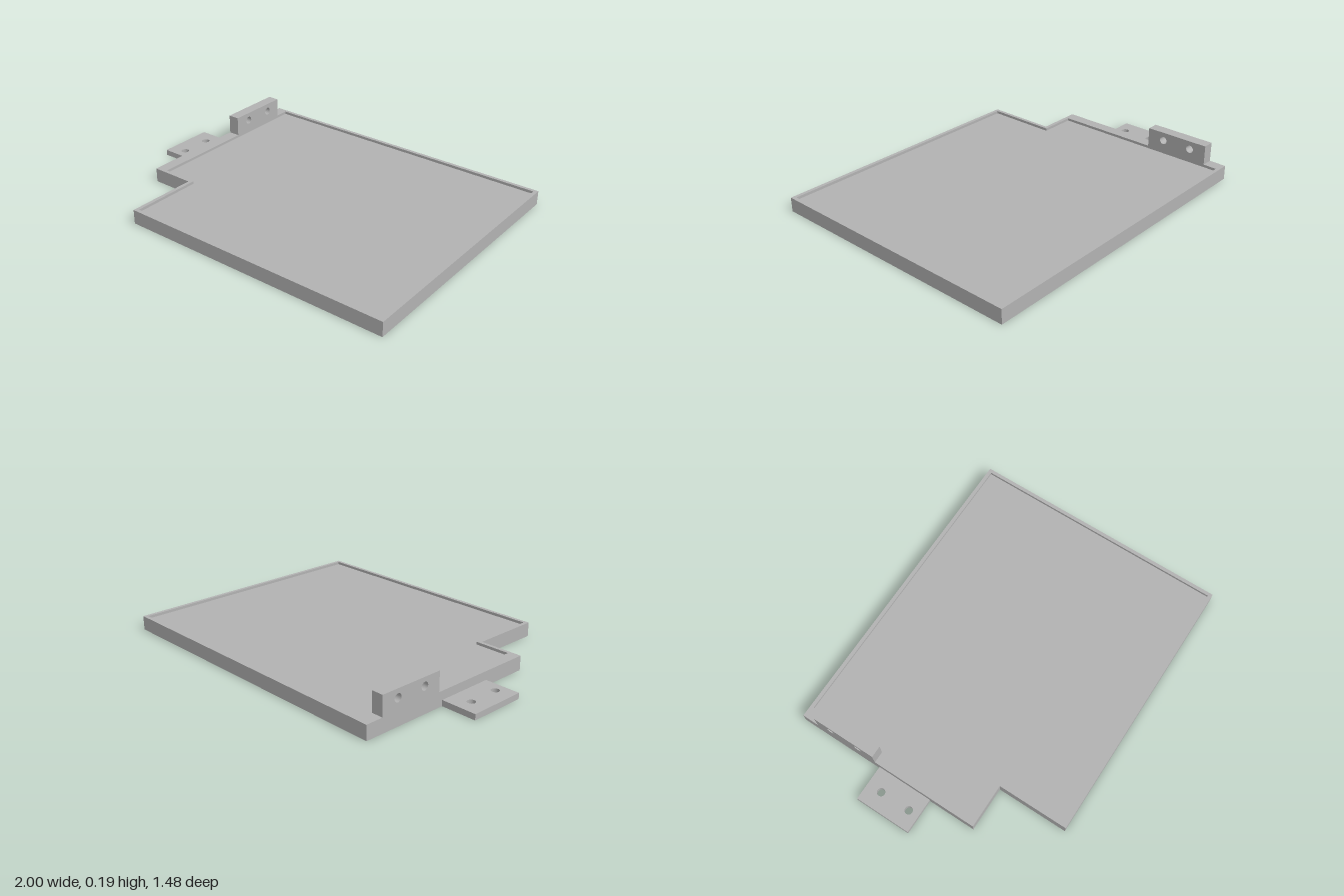
import * as THREE from 'three';

const FLOOR = 0.065, TOP = 0.08;

export function createModel() {
  const group = new THREE.Group();
  const grey = new THREE.MeshStandardMaterial({ color: 0xb2b2b2 });
  grey.name = 'grey';

  const polygon = (points, Type = THREE.Shape) =>
    new Type(points.map(([a, b]) => new THREE.Vector2(a, b)));

  function addHoles(shape, centres, radius) {
    for (const [a, b] of centres) {
      const hole = new THREE.Path();
      hole.absarc(a, b, radius, 0, Math.PI * 2, true);
      shape.holes.push(hole);
    }
    return shape;
  }

  const extrude = (shape, depth) =>
    new THREE.ExtrudeGeometry(shape, { depth, bevelEnabled: false, curveSegments: 16 });

  function add(name, geometry) {
    const mesh = new THREE.Mesh(geometry, grey);
    mesh.name = name;
    group.add(mesh);
  }

  // Plan shapes are drawn in (x, -z) and extruded upward
  const slab = (shape, y0, y1) =>
    extrude(shape, y1 - y0).rotateX(-Math.PI / 2).translate(0, y0, 0);

  // Notched plate outline and the recess inside it
  const outline = [[-0.55, -0.74], [1, -0.74], [1, 0.74], [-0.8, 0.74], [-0.8, -0.34], [-0.55, -0.34]];
  const recess = [[-0.53, -0.72], [0.98, -0.72], [0.98, 0.72], [-0.735, 0.72], [-0.735, -0.32], [-0.53, -0.32]];

  add('trayFloor', slab(polygon(outline), 0, FLOOR));

  // Raised rim around the recess
  const rim = polygon(outline);
  rim.holes.push(polygon(recess.slice().reverse(), THREE.Path));
  add('trayRim', slab(rim, FLOOR, TOP));

  // Flat side tab with two screw holes
  const tab = polygon([[-1, -0.07], [-0.8, -0.07], [-0.8, 0.25], [-1, 0.25]]);
  addHoles(tab, [[-0.905, -0.01], [-0.905, 0.165]], 0.022);
  add('sideTab', slab(tab, 0, 0.032));

  // Upright lug with two holes, drawn in (-z, y) and extruded along x
  const lug = polygon([[0.273, TOP], [0.643, TOP], [0.643, 0.19], [0.273, 0.19]]);
  addHoles(lug, [[0.372, 0.143], [0.546, 0.143]], 0.022);
  add('uprightLug', extrude(lug, 0.065).rotateY(Math.PI / 2).translate(-0.8, 0, 0));

  return group;
}
